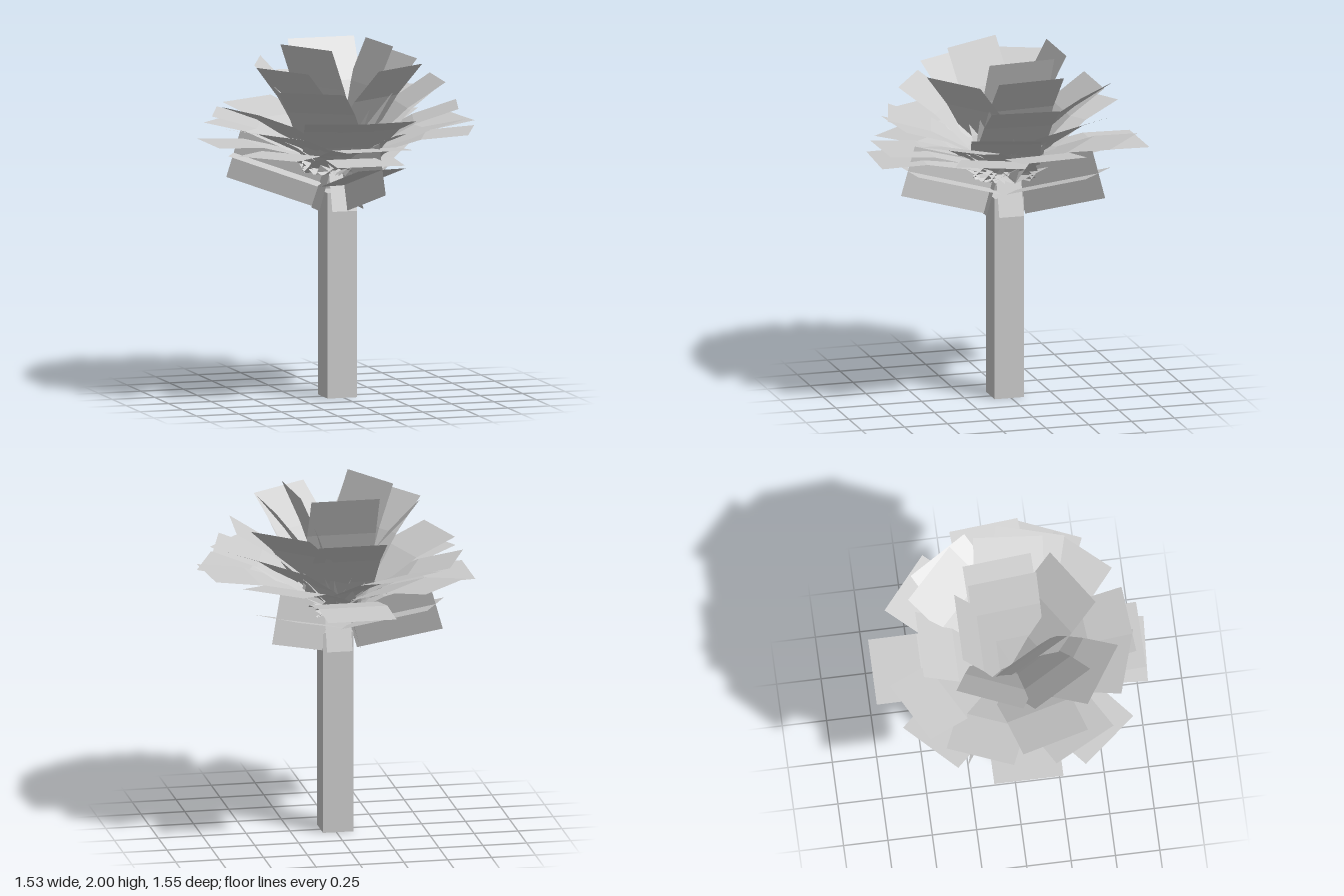
import * as THREE from 'three';

const grey = new THREE.MeshStandardMaterial({ color: 0xcccccc, flatShading: true });
const thin = new THREE.MeshStandardMaterial({ color: 0xcccccc, flatShading: true, side: THREE.DoubleSide });
const CX = -0.01, CZ = 0.01; // axis of the trunk
const BASE = 1.27; // height where the crown leaves start

// Flat blade standing on its base edge
function bladeGeometry(width, length) {
  return new THREE.PlaneGeometry(width, length).translate(0, length / 2, 0);
}

// Arching leaf pointing to -z: steeper than its chord at the base, flatter at the tip
function leafGeometry(reach, rise) {
  const segments = 3;
  const geometry = new THREE.PlaneGeometry(0.39, 1, 1, segments);
  const position = geometry.attributes.position;
  const chord = Math.hypot(reach, rise);
  const bulge = 0.08 * reach / chord; // flatter leaves sag more
  for (let i = 0; i < position.count; i++) {
    const t = position.getY(i) + 0.5;
    const lift = 4 * bulge * t * (1 - t) * chord;
    position.setY(i, rise * t + lift * reach / chord);
    position.setZ(i, -reach * t + lift * rise / chord);
  }
  return geometry;
}

// Azimuth is measured in degrees from the back (-z) towards -x; lean from upright
function place(object, name, azimuth, lean, y) {
  object.name = name;
  object.rotation.order = 'YXZ';
  object.rotation.set(-lean, THREE.MathUtils.degToRad(azimuth), 0);
  object.position.set(CX, y, CZ);
  return object;
}

export function createModel() {
  const model = new THREE.Group();
  model.name = 'palm';

  // Square trunk
  const trunk = new THREE.Mesh(new THREE.BoxGeometry(0.172, 1.16, 0.172), grey);
  trunk.name = 'trunk';
  trunk.position.set(CX, 0.58, CZ);
  model.add(trunk);

  // Small flaps leaning in around the trunk top
  const flapGeometry = bladeGeometry(0.145, 0.28).rotateX(0.28).translate(0, 0, -0.13);
  for (let i = 0; i < 4; i++) {
    model.add(place(new THREE.Mesh(flapGeometry, thin), 'trunkFlap', i * 90, 0, 1.06));
  }

  // Crown leaves: [azimuth, horizontal reach, height of the tip], steep to flat
  const leaves = [
    [275, 0.255, 1.985], [119.5, 0.26, 1.995], [0, 0.3, 1.985],
    [275, 0.4, 1.91], [67, 0.45, 1.89], [213.5, 0.45, 1.895], [120.5, 0.465, 1.885], [0, 0.52, 1.78],
    [147, 0.565, 1.785], [265, 0.575, 1.78], [316.5, 0.575, 1.83],
    [105, 0.65, 1.66], [163, 0.655, 1.63], [302.5, 0.65, 1.69], [254, 0.67, 1.645], [185, 0.67, 1.63],
    [68, 0.69, 1.6], [28.5, 0.7, 1.61], [118, 0.71, 1.56], [228, 0.7, 1.58], [320, 0.72, 1.54],
    [181, 0.73, 1.48], [275, 0.75, 1.54], [45, 0.74, 1.52], [130, 0.745, 1.43], [247, 0.75, 1.51],
    [176.5, 0.75, 1.4], [90, 0.76, 1.46], [0, 0.785, 1.42],
  ];
  const crown = new THREE.Group();
  crown.name = 'crown';
  for (const [azimuth, reach, tip] of leaves) {
    crown.add(place(new THREE.Mesh(leafGeometry(reach, tip - BASE), thin), 'leaf', azimuth, 0, BASE));
  }
  model.add(crown);

  // Three low fronds, each a pair of crossed blades
  const frondGeometry = bladeGeometry(0.29, 0.53).translate(0, 0.09, 0);
  for (const azimuth of [315, 60, 187]) {
    const frond = place(new THREE.Group(), 'lowerFrond', azimuth, 1.275, 1.175);
    for (const turn of [0, Math.PI / 2]) {
      const blade = new THREE.Mesh(frondGeometry, thin);
      blade.name = 'frondBlade';
      blade.rotation.y = turn;
      frond.add(blade);
    }
    model.add(frond);
  }
  return model;
}
